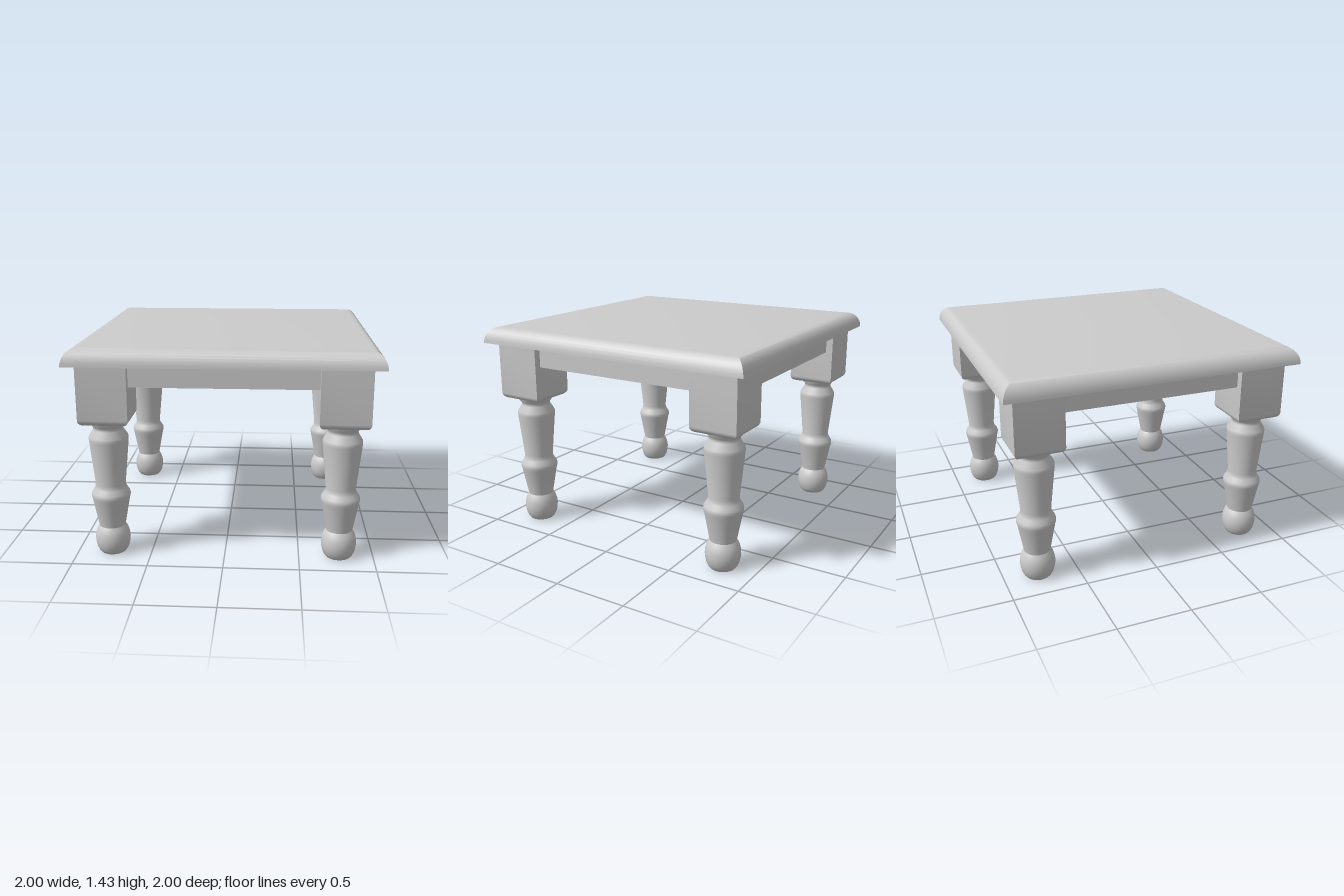
import * as THREE from 'three';
import { toCreasedNormals } from 'three/addons/utils/BufferGeometryUtils.js';

const material = new THREE.MeshStandardMaterial({ color: 0xcccccc });

function add(parent, name, geometry, x = 0, y = 0, z = 0) {
  const mesh = new THREE.Mesh(geometry, material);
  mesh.name = name;
  mesh.position.set(x, y, z);
  parent.add(mesh);
  return mesh;
}

// Round turning from [radius, height] points, bottom to top
function turned(points, crease) {
  const profile = points.map(([r, y]) => new THREE.Vector2(r, y));
  return toCreasedNormals(new THREE.LatheGeometry(profile, 32), crease);
}

// Square solid with mitred corners from [half width, height] points, bottom to top
function squareTurned(points, crease) {
  const profile = points.map(([h, y]) => new THREE.Vector2(h * Math.SQRT2, y));
  return toCreasedNormals(new THREE.LatheGeometry(profile, 4, Math.PI / 4), crease);
}

// Quarter-ellipse edge, from angle a0 to a1
function arc(cx, cy, rx, ry, a0, a1, steps = 8) {
  return Array.from({ length: steps + 1 }, (_, i) => {
    const a = a0 + (a1 - a0) * i / steps;
    return [cx + rx * Math.cos(a), cy + ry * Math.sin(a)];
  });
}

export function createModel() {
  const table = new THREE.Group();
  table.name = 'table';

  const underside = 1.325, topHeight = 1.435, blockBottom = 0.925;
  const legOffset = 0.767, blockHalf = 0.162;

  // Top slab with a rounded-over rim
  add(table, 'tableTop', squareTurned([
    [0, underside],
    ...arc(0.91, underside, 0.09, topHeight - underside, 0, Math.PI / 2),
    [0, topHeight],
  ], 0.5));

  // Square leg block with softened lower edges
  const blockGeometry = squareTurned([
    [0, blockBottom],
    ...arc(blockHalf - 0.04, blockBottom + 0.04, 0.04, 0.04, -Math.PI / 2, 0, 6),
    [blockHalf, underside],
  ], 0.5);

  // Turned leg: ball foot, lower vase, upper vase, collar
  const legGeometry = turned([
    [0, 0], [0.083, 0],
    [0.096, 0.015], [0.108, 0.04], [0.115, 0.07], [0.118, 0.1],
    [0.114, 0.135], [0.104, 0.168], [0.088, 0.193],
    [0.124, 0.385], [0.129, 0.403], [0.13, 0.418], [0.126, 0.433],
    [0.108, 0.46], [0.102, 0.475], [0.1, 0.495],
    [0.13, 0.795], [0.131, 0.81], [0.128, 0.825],
    [0.101, 0.868], [0.098, 0.88], [0.102, 0.893], [0.12, 0.915], [0.123, 0.935],
  ], 0.6);

  for (const sx of [-1, 1]) {
    for (const sz of [-1, 1]) {
      const leg = new THREE.Group();
      leg.name = (sz > 0 ? 'front' : 'back') + (sx > 0 ? 'Left' : 'Right') + 'Leg';
      leg.position.set(sx * legOffset, 0, sz * legOffset);
      add(leg, 'legBlock', blockGeometry);
      add(leg, 'turnedLeg', legGeometry);
      table.add(leg);
    }
  }

  // Apron rails between the leg blocks, set back from their faces
  const railGeometry = new THREE.BoxGeometry(2 * (legOffset - blockHalf) + 0.02, 0.15, 0.1);
  ['front', 'left', 'back', 'right'].forEach((side, i) => {
    const a = i * Math.PI / 2;
    const rail = add(table, side + 'Apron', railGeometry, Math.sin(a) * 0.83, 1.25, Math.cos(a) * 0.83);
    rail.rotation.y = a;
  });

  return table;
}
